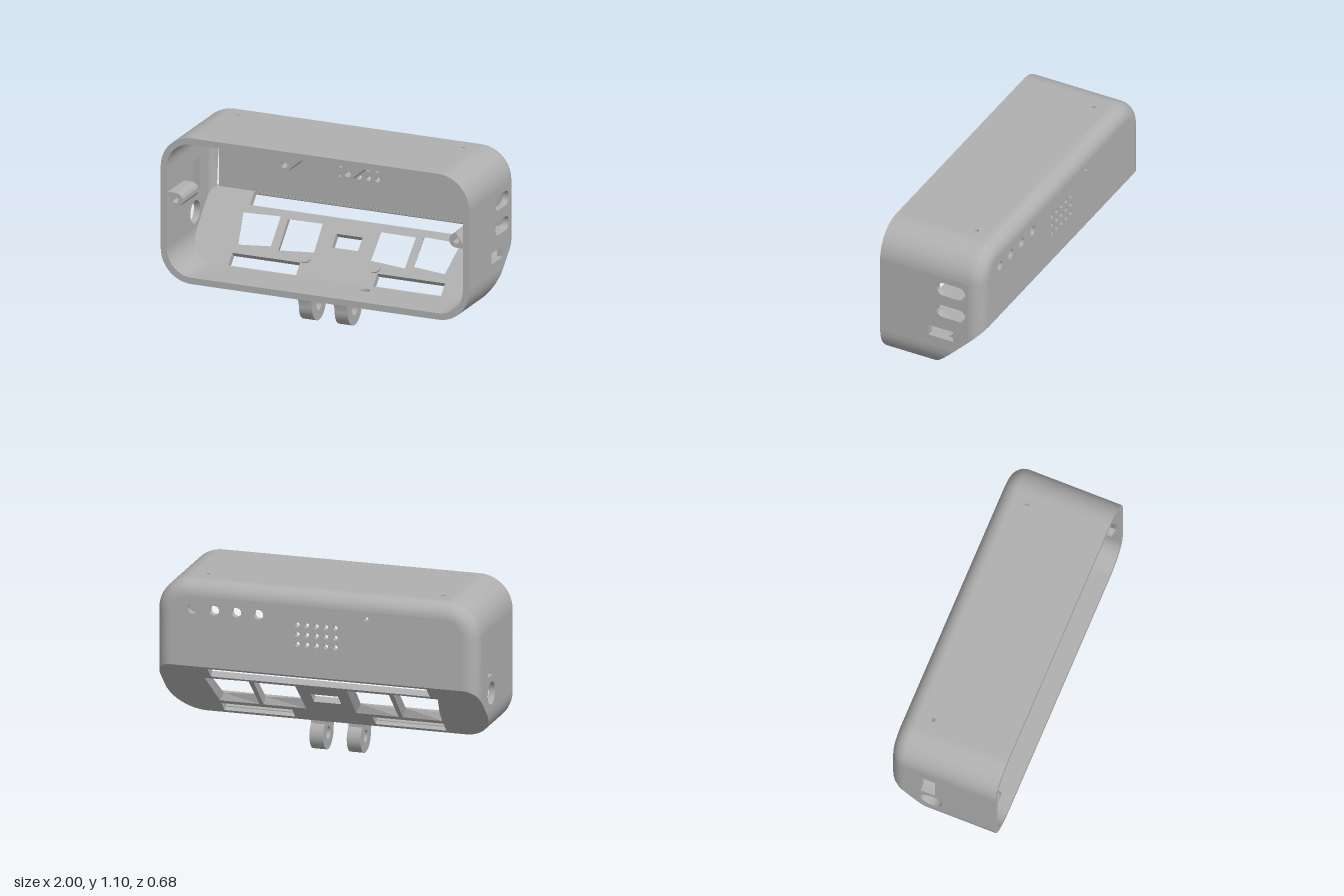
import * as THREE from 'three';
import { toCreasedNormals } from 'three/addons/utils/BufferGeometryUtils.js';

const FRONT = 0.34, FILLET_Z = -0.25, T = 0.04, CUT = 0.235, S2 = Math.SQRT2;
const V = (x, y, z) => new THREE.Vector3(x, y, z);

export function createModel() {
  const model = new THREE.Group();
  const grey = new THREE.MeshStandardMaterial({ color: 0xb0b0b0 });
  grey.name = 'matte grey';

  const add = (name, geo, parent = model) => {
    const mesh = new THREE.Mesh(geo, grey);
    mesh.name = name;
    parent.add(mesh);
    return mesh;
  };
  const poly = (pts) => new THREE.Shape(pts.map((p) => new THREE.Vector2(p[0], p[1])));
  const rect = (x0, y0, x1, y1) => [[x0, y0], [x1, y0], [x1, y1], [x0, y1]];
  const circle = (x, y, r) => new THREE.Path().absarc(x, y, r, 0, Math.PI * 2);
  const slot = (x0, y0, x1, y1) => {
    const r = (y1 - y0) / 2, p = new THREE.Path();
    p.absarc(x1 - r, y0 + r, r, -Math.PI / 2, Math.PI / 2);
    p.absarc(x0 + r, y0 + r, r, Math.PI / 2, Math.PI * 1.5);
    return p.closePath();
  };
  const extrude = (shape, holes, depth) => {
    shape.holes.push(...holes);
    return toCreasedNormals(new THREE.ExtrudeGeometry(shape, { depth, bevelEnabled: false, curveSegments: 16 }), 0.6);
  };
  // Local drawing frames: x and y of the sketch, then the extrusion direction
  const frame = (x, y, origin) => new THREE.Matrix4()
    .makeBasis(x, y, x.clone().cross(y)).setPosition(origin);
  const sideways = (x) => frame(V(0, 0, -1), V(0, 1, 0), V(x, 0, 0));
  const flat = (y) => frame(V(1, 0, 0), V(0, 0, -1), V(0, y, 0));
  const slope = frame(V(1, 0, 0), V(0, 1, -1).normalize(), V(0, 0.19, 0.045));

  // Perimeter of the case, counterclockwise: corner centre and outward normal
  const rim = [];
  const put = (x, y, a) => rim.push({ x, y, nx: Math.cos(a), ny: Math.sin(a) });
  const sideYs = [0.485, 0.51, 0.54, 0.56, 0.575, 0.59];
  [[0.8, 0.9], [-0.8, 0.9], [-0.8, 0.39], [0.8, 0.39]].forEach(([x, y], q) => {
    for (let i = 0; i <= 12; i++) put(x, y, (q + i / 12) * Math.PI / 2);
    if (q === 1) [...sideYs].reverse().forEach((s) => put(-0.8, s, Math.PI));
    if (q === 3) sideYs.forEach((s) => put(0.8, s, 0));
  });

  // Point on the wall line that runs from the front edge (t=0) over the fillet (t=1)
  const wallPoint = (p, inset, t) => {
    const a = Math.max(0, t - 0.5) * Math.PI, f = 0.09 - inset;
    const r = 0.2 - inset - f * (1 - Math.cos(a));
    const z = t < 0.5 ? FRONT + (FILLET_Z - FRONT) * t * 2 : FILLET_Z - f * Math.sin(a);
    return V(p.x + p.nx * r, p.y + p.ny * r, z);
  };
  const clipAt = (p, inset) => {
    const plane = CUT + inset * S2;
    const above = (t) => { const v = wallPoint(p, inset, t); return v.y + v.z >= plane; };
    if (above(1)) return 1;
    let lo = 0, hi = 1;
    for (let i = 0; i < 40; i++) {
      const m = (lo + hi) / 2;
      if (above(m)) lo = m; else hi = m;
    }
    return lo;
  };

  // Rounded corners and back fillet; the flat walls are separate plates
  const skin = (inset, inward) => {
    const ts = [0, 0.5];
    for (let i = 1; i <= 8; i++) ts.push(0.5 + i / 16);
    const rows = rim.map((p) => {
      const end = clipAt(p, inset);
      return ts.map((t) => wallPoint(p, inset, Math.min(t, end)));
    });
    const out = [];
    const tri = (a, b, c) => {
      const area = b.clone().sub(a).cross(c.clone().sub(a)).length();
      if (area < 1e-8) return;
      for (const v of inward ? [a, c, b] : [a, b, c]) out.push(v.x, v.y, v.z);
    };
    rim.forEach((p, i) => {
      const k = (i + 1) % rim.length, q = rim[k];
      const straight = Math.abs(p.nx - q.nx) + Math.abs(p.ny - q.ny) < 1e-6;
      for (let j = straight ? 1 : 0; j < ts.length - 1; j++) {
        const a = rows[i][j], b = rows[k][j], c = rows[k][j + 1], d = rows[i][j + 1];
        tri(a, d, c);
        tri(a, c, b);
      }
    });
    const g = new THREE.BufferGeometry();
    g.setAttribute('position', new THREE.Float32BufferAttribute(out, 3));
    return toCreasedNormals(g, 0.5);
  };
  add('outerCorners', skin(0, false));
  add('innerCorners', skin(T, true));

  // Front rim
  const outline = (inset, t) => rim.map((p) => wallPoint(p, inset, t)).map((v) => [v.x, v.y]);
  const rimShape = poly(outline(0, 0));
  rimShape.holes.push(poly(outline(T, 0)));
  add('frontRim', new THREE.ShapeGeometry(rimShape).translate(0, 0, FRONT));

  // Side walls with connector openings
  const side = () => poly([[-FRONT, 0.39], [0.155, 0.39], [0.25, 0.485], [0.25, 0.9], [-FRONT, 0.9]]);
  add('leftWall', extrude(side(), [slot(0.04, 0.77, 0.23, 0.86), slot(0.04, 0.615, 0.23, 0.7),
    poly(rect(-0.015, 0.46, 0.15, 0.53))], T).applyMatrix4(sideways(1 - T)));
  add('rightWall', extrude(side(), [poly(rect(0.045, 0.605, 0.135, 0.82)),
    circle(0.068, 0.495, 0.07)], T).applyMatrix4(sideways(-1)));

  // Top and bottom walls
  add('topWall', extrude(poly(rect(-0.8, -FRONT, 0.8, 0.25)),
    [-0.73, 0.73].map((x) => circle(x, 0.165, 0.012)), T).applyMatrix4(flat(1.1 - T)));
  add('bottomWall', extrude(poly(rect(-0.8, -FRONT, 0.8, -0.045)),
    [circle(0.23, -0.13, 0.03)], T).applyMatrix4(flat(0.19)));

  // Back wall with speaker grid, button holes and indicator hole
  const backHoles = [circle(-0.31, 0.965, 0.013)];
  for (const y of [0.77, 0.83, 0.89])
    for (let i = -2; i <= 2; i++) backHoles.push(circle(i * 0.059, y, 0.015));
  for (const x of [0.36, 0.497, 0.634, 0.77]) backHoles.push(circle(x, 0.93, 0.03));
  const backShape = new THREE.Shape();
  backShape.moveTo(-0.91, 0.575).lineTo(0.91, 0.575);
  backShape.absarc(0.8, 0.9, 0.11, 0, Math.PI / 2);
  backShape.absarc(-0.8, 0.9, 0.11, Math.PI / 2, Math.PI);
  add('backWall', extrude(backShape, backHoles, T).translate(0, 0, -FRONT));

  // Sloped panel: outer and inner faces joined by hole walls, so windows may flare
  const up = (y) => (y - 0.19) * S2, upIn = (y) => up(y - T * S2 / 2);
  const holes = [];
  const box = (x0, x1, y0, y1) => holes.push([rect(x0, up(y0), x1, up(y1)), rect(x0, up(y0), x1, up(y1))]);
  box(-0.68, 0.68, 0.497, 0.562);
  box(-0.085, 0.085, 0.357, 0.422);
  box(-0.69, -0.25, 0.207, 0.267);
  box(0.25, 0.69, 0.207, 0.267);
  const windows = [
    [[[0.155, 0.29], [0.42, 0.29], [0.42, 0.48], [0.16, 0.48]],
      [[0.185, 0.35], [0.41, 0.337], [0.415, 0.485], [0.19, 0.487]]],
    [[[0.445, 0.29], [0.69, 0.29], [0.725, 0.48], [0.45, 0.485]],
      [[0.465, 0.35], [0.67, 0.337], [0.705, 0.487], [0.465, 0.493]]],
  ];
  for (const [outer, inner] of windows) {
    const o = outer.map(([x, y]) => [x, up(y)]), n = inner.map(([x, y]) => [x, upIn(y)]);
    const flip = (loop) => loop.map(([x, y]) => [-x, y]).reverse();
    holes.push([o, n], [flip(o), flip(n)]);
  }
  const panel = new THREE.Group();
  panel.name = 'slopedPanel';
  panel.applyMatrix4(slope);
  model.add(panel);
  const edge = rim.filter((p) => { const v = wallPoint(p, 0, 1); return v.y + v.z < CUT + 1e-6; })
    .map((p) => wallPoint(p, 0, clipAt(p, 0))).map((v) => [v.x, up(v.y)]);
  const face = (k) => {
    const s = poly(edge);
    s.holes.push(...holes.map((h) => poly(h[k])));
    return new THREE.ShapeGeometry(s);
  };
  add('panelInside', face(1).translate(0, 0, T), panel);
  const outside = face(0);
  outside.setIndex([...outside.index.array].reverse());
  outside.computeVertexNormals();
  add('panelOutside', outside, panel);
  const walls = [];
  for (const [o, n] of holes) o.forEach((a, i) => {
    const j = (i + 1) % o.length;
    const q = [[...a, 0], [...n[i], T], [...n[j], T], [...o[j], 0]];
    walls.push(...q[0], ...q[1], ...q[2], ...q[0], ...q[2], ...q[3]);
  });
  const wallGeo = new THREE.BufferGeometry();
  wallGeo.setAttribute('position', new THREE.Float32BufferAttribute(walls, 3));
  wallGeo.computeVertexNormals();
  add('windowEdges', wallGeo, panel);
  // Small mounting pads on the inside of the panel
  for (const x of [-0.225, 0.225])
    add('mountingPad', new THREE.CylinderGeometry(0.035, 0.035, 0.01, 20)
      .rotateX(Math.PI / 2).translate(x, upIn(0.32), T + 0.005), panel);

  // Screw bosses along the inside of the walls
  for (const [x, y, turn] of [[-0.205, 1.012, 0], [0.205, 1.012, 0],
    [-0.91, 0.695, Math.PI / 2], [0.91, 0.695, -Math.PI / 2]]) {
    const s = new THREE.Shape();
    s.moveTo(-0.045, 0.065).absarc(0, 0, 0.045, Math.PI, Math.PI * 2).lineTo(0.045, 0.065);
    const boss = add('screwBoss', extrude(s, [circle(0, 0, 0.02)], 0.23));
    boss.position.set(x, y, 0.095);
    boss.rotation.z = turn;
  }

  // Hinge lugs under the case
  for (const x of [-0.16, 0.072]) {
    const s = new THREE.Shape();
    s.moveTo(-0.248, 0.2).lineTo(-0.2145, 0.11);
    s.absarc(-0.115, 0.1, 0.1, Math.PI - 0.1, Math.PI * 2 + 0.795).lineTo(-0.045, 0.2);
    add('hingeLug', extrude(s, [circle(-0.115, 0.1, 0.038)], 0.086).applyMatrix4(sideways(x)));
  }
  return model;
}
